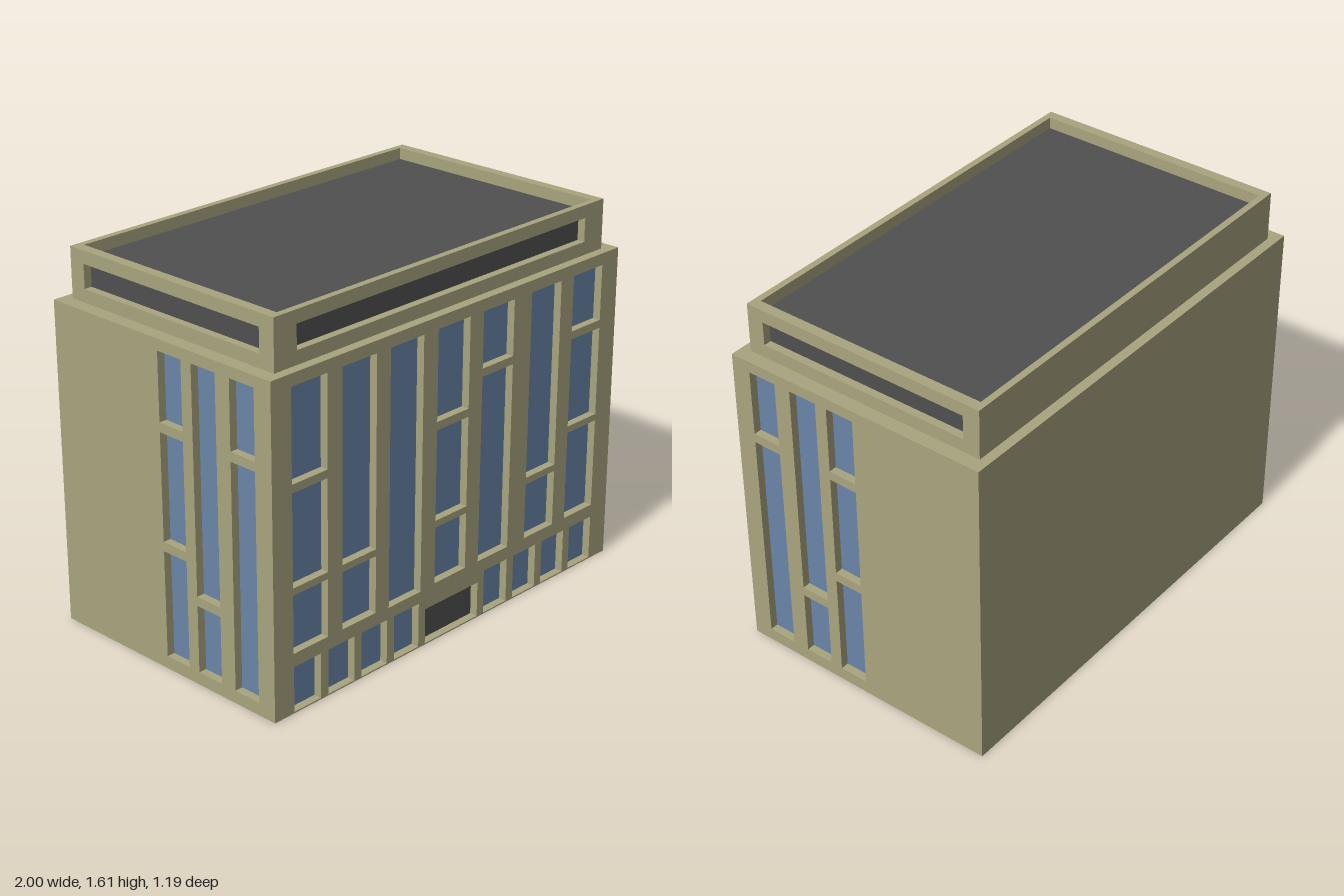
import * as THREE from 'three';
import { mergeGeometries } from 'three/addons/utils/BufferGeometryUtils.js';

const material = (color) => new THREE.MeshStandardMaterial({ color, side: THREE.DoubleSide });
const DEPTH = 0.035; // how far windows sit back from the walls

// Four quads joining two rectangular loops of corners
function ring(a, b) {
  const points = [];
  for (let i = 0; i < 4; i++) {
    const j = (i + 1) % 4;
    points.push(a[i], a[j], b[j], a[i], b[j], b[i]);
  }
  const geometry = new THREE.BufferGeometry().setFromPoints(points);
  geometry.computeVertexNormals();
  return geometry;
}

// Corners of an upright rectangle [x0, x1, y0, y1] at depth z
const upright = ([x0, x1, y0, y1], z) =>
  [[x0, y0], [x1, y0], [x1, y1], [x0, y1]].map(([x, y]) => new THREE.Vector3(x, y, z));

// Corners of a level rectangle with half sizes hx, hz
const level = (hx, hz, y) =>
  [[-hx, hz], [hx, hz], [hx, -hz], [-hx, -hz]].map(([x, z]) => new THREE.Vector3(x, y, z));

function mesh(name, geometry, mat) {
  const m = new THREE.Mesh(geometry, mat);
  m.name = name;
  return m;
}

// Wall facing +z with recessed openings: { rect, mat, name }
function wall(name, rect, openings, wallMat) {
  const group = new THREE.Group();
  group.name = name;
  const toPath = (r) => upright(r, 0).map((p) => new THREE.Vector2(p.x, p.y));
  const shape = new THREE.Shape(toPath(rect));
  const parts = [];
  for (const { rect: r, mat, name: label } of openings) {
    shape.holes.push(new THREE.Path(toPath(r)));
    parts.push(ring(upright(r, 0), upright(r, -DEPTH)));
    const pane = mesh(label, new THREE.PlaneGeometry(r[1] - r[0], r[3] - r[2]), mat);
    pane.position.set((r[0] + r[1]) / 2, (r[2] + r[3]) / 2, -DEPTH);
    group.add(pane);
  }
  const face = new THREE.ShapeGeometry(shape).toNonIndexed();
  face.deleteAttribute('uv');
  group.add(mesh(name + 'Surface', mergeGeometries([face, ...parts]), wallMat));
  return group;
}

export function createModel() {
  const model = new THREE.Group();
  model.name = 'building';
  const stone = material(0xa9a57f);
  const glass = material(0x6a86a8);
  const dark = material(0x505050);
  const win = (rect) => ({ rect, mat: glass, name: 'window' });
  const slot = (rect) => ({ rect, mat: dark, name: 'atticOpening' });

  // Front windows: column start, then the height range of each pane
  const three = [[0.257, 0.503], [0.533, 0.922], [0.957, 1.342]];
  const two = [[0.257, 0.503], [0.533, 1.342]];
  const columns = [
    [-0.898, three], [-0.634, two], [-0.374, [[0.25, 1.342]]], [-0.107, three],
    [0.157, [[0.257, 1.067], [1.102, 1.342]]], [0.449, two],
    [0.713, [[0.257, 0.65], [0.679, 1.067], [1.102, 1.342]]],
  ];
  const front = columns.flatMap(([x, rows]) => rows.map(([a, b]) => win([x, x + 0.185, a, b])));

  // Ground floor windows on both sides of the entrance
  for (let i = 0; i < 4; i++) {
    const x = 0.198 + i * 0.185;
    front.push(win([x, x + 0.144, 0.006, 0.2]), win([-x - 0.144, -x, 0.006, 0.2]));
  }
  front.push({ rect: [-0.159, 0.159, 0.006, 0.16], mat: dark, name: 'entrance' });

  // Side windows, measured by distance towards the front
  const sideColumns = [
    [0.383, [[0.055, 1.015], [1.055, 1.345]]],
    [0.18, [[0.055, 0.345], [0.385, 1.345]]],
    [-0.003, [[0.055, 0.515], [0.555, 1.015], [1.055, 1.345]]],
  ];

  // Two storeys of walls: the main block and the set-back attic
  const storeys = [
    { name: 'main', hx: 1, hz: 0.597, y0: 0, y1: 1.393, front, side: sideColumns, width: 0.128, pane: win },
    { name: 'attic', hx: 0.94, hz: 0.555, y0: 1.393, y1: 1.607, front: [slot([-0.825, 0.825, 1.45, 1.552])],
      side: [[-0.48, [[1.45, 1.552]]]], width: 0.96, pane: slot },
  ];
  for (const s of storeys) {
    const across = [-s.hx, s.hx, s.y0, s.y1];
    const along = [-s.hz, s.hz, s.y0, s.y1];
    const frontWall = wall(s.name + 'FrontWall', across, s.front, stone);
    frontWall.position.z = s.hz;
    const backWall = wall(s.name + 'BackWall', across, [], stone);
    backWall.position.z = -s.hz;
    backWall.rotation.y = Math.PI;
    model.add(frontWall, backWall);

    for (const sign of [1, -1]) {
      const openings = s.side.flatMap(([z, rows]) => rows.map(([a, b]) =>
        s.pane(sign > 0 ? [-z - s.width, -z, a, b] : [z, z + s.width, a, b])));
      const sideWall = wall(s.name + (sign > 0 ? 'LeftWall' : 'RightWall'), along, openings, stone);
      sideWall.position.x = sign * s.hx;
      sideWall.rotation.y = sign * Math.PI / 2;
      model.add(sideWall);
    }
  }

  // Ledge around the attic, parapet rim and sunken roof
  const [main, attic] = storeys;
  const [rx, rz, roofY] = [0.895, 0.526, attic.y1 - 0.05];
  model.add(mesh('ledge', ring(level(main.hx, main.hz, main.y1), level(attic.hx, attic.hz, main.y1)), stone));
  model.add(mesh('parapet', mergeGeometries([
    ring(level(attic.hx, attic.hz, attic.y1), level(rx, rz, attic.y1)),
    ring(level(rx, rz, attic.y1), level(rx, rz, roofY)),
  ]), stone));
  const roof = mesh('roof', new THREE.PlaneGeometry(rx * 2, rz * 2), dark);
  roof.rotation.x = -Math.PI / 2;
  roof.position.y = roofY;
  model.add(roof);

  return model;
}
